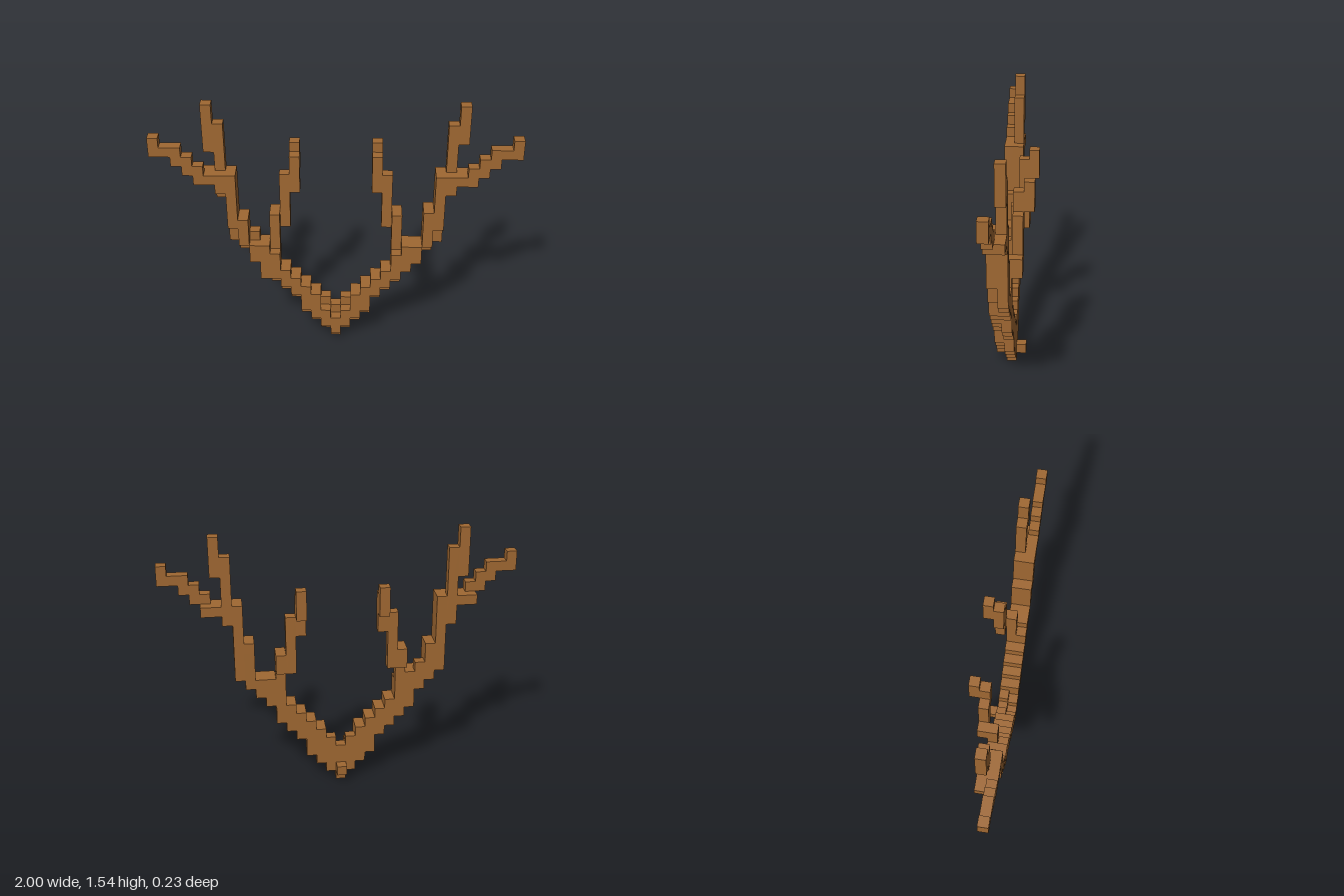
import * as THREE from 'three';
import { mergeGeometries } from 'three/addons/utils/BufferGeometryUtils.js';

const S = 2 / 35; // edge of one block

// Each run is [column, layer, first row, last row]; layer 1 is the front one.
const BEAM = [
  [1, 0, 1, 4], [1, 1, 2, 3],
  [2, 0, 2, 5], [2, 1, 3, 5],
  [3, 0, 3, 6], [3, 1, 4, 6],
  [4, 0, 5, 7], [4, 1, 6, 7],
  [5, 0, 6, 8], [5, 1, 7, 8],
  [6, 0, 7, 14], [6, 1, 8, 10],
  [7, 0, 9, 11], [7, 1, 9, 11],
  [8, 0, 10, 11], [8, 1, 10, 11],
  [9, 0, 11, 14], [9, 1, 12, 14],
  [10, 0, 12, 19], [10, 1, 14, 19],
];
const INNER_TINE = [
  [6, -1, 13, 14], [5, -1, 13, 18], [4, -1, 17, 20], [4, -2, 19, 21],
];
const UPPER_TINE = [[11, 0, 18, 24], [12, 0, 23, 26]];
const OUTER_TINE = [
  [11, 1, 18, 19], [12, 0, 19, 19], [12, 1, 19, 19],
  [13, 0, 19, 19], [13, 1, 19, 20], [14, 1, 20, 21],
  [15, 1, 21, 22], [16, 1, 22, 22], [17, 1, 22, 23],
];
const BASE = [[0, 0, 0, 3], [0, 1, 1, 2], [0, -1, 1, 1]];

// Small irregularities that differ between the two sides
const LEFT_KNOTS = [[9, 0, 15, 15], [9, 1, 15, 15]];
const RIGHT_KNOTS = [
  [7, 0, 8, 8], [7, 1, 8, 8], [8, 0, 12, 12],
  [11, 0, 17, 17], [12, 0, 22, 22],
];

export function createModel() {
  const model = new THREE.Group();
  model.name = 'antlers';
  const brown = new THREE.MeshStandardMaterial({ color: 0xa06832 });
  brown.name = 'antler brown';

  // Turns block runs into one mesh; side -1 mirrors them
  function addPart(name, runs, side, parent) {
    const boxes = runs.map(([col, layer, from, to]) => {
      const box = new THREE.BoxGeometry(S, (to - from + 1) * S, S);
      return box.translate(side * col * S, (from + to + 1) * S / 2, (layer + 0.5) * S);
    });
    const mesh = new THREE.Mesh(mergeGeometries(boxes), brown);
    mesh.name = name;
    parent.add(mesh);
  }

  addPart('base', BASE, 1, model);

  for (const side of [1, -1]) {
    const antler = new THREE.Group();
    antler.name = side > 0 ? 'leftAntler' : 'rightAntler';
    addPart('beam', BEAM, side, antler);
    addPart('innerTine', INNER_TINE, side, antler);
    addPart('upperTine', UPPER_TINE, side, antler);
    addPart('outerTine', OUTER_TINE, side, antler);
    addPart('knots', side > 0 ? LEFT_KNOTS : RIGHT_KNOTS, side, antler);
    model.add(antler);
  }
  return model;
}
